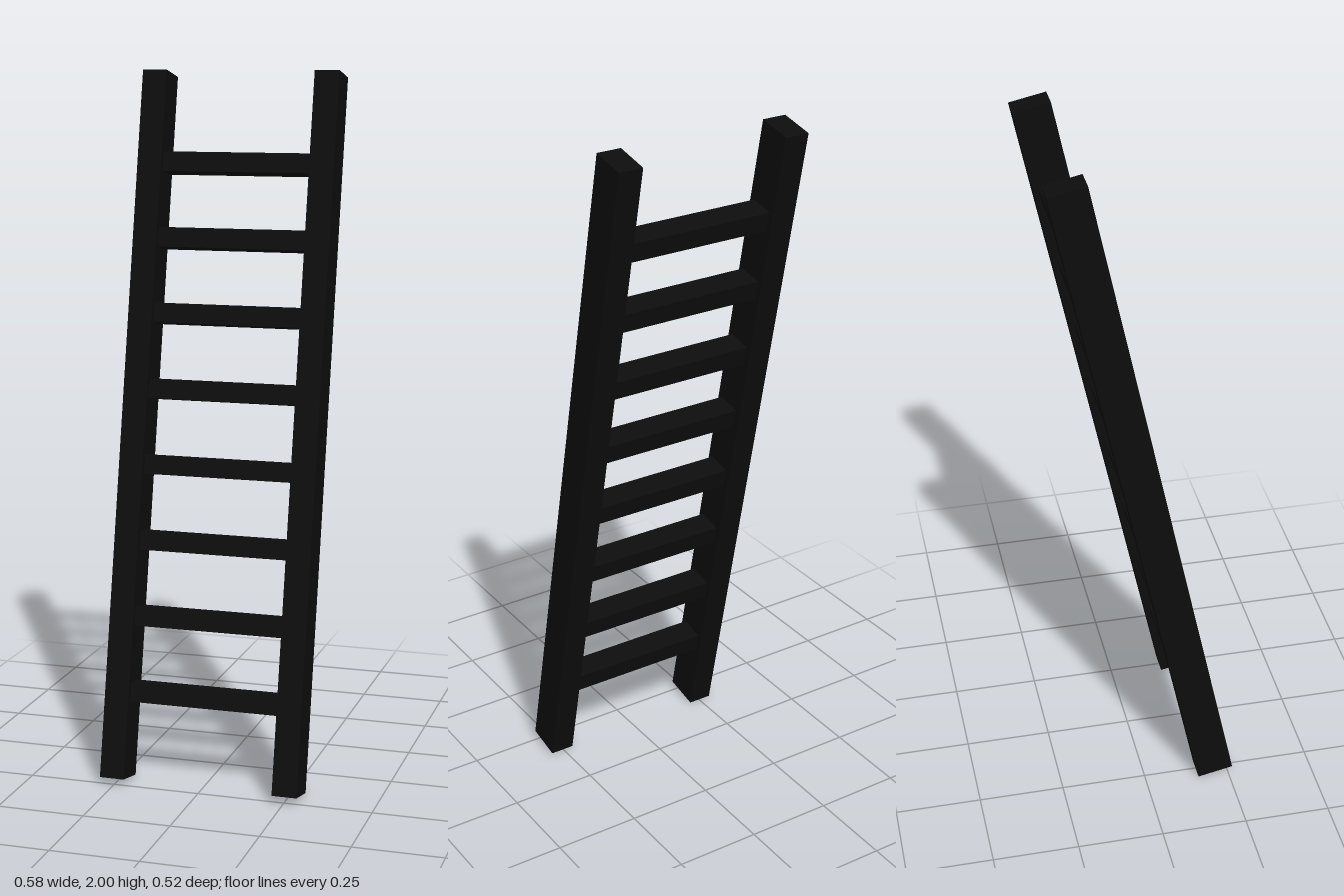
import * as THREE from 'three';

export function createModel() {
  const black = new THREE.MeshStandardMaterial({ color: 0x0d0d0d });
  black.name = 'black';

  const model = new THREE.Group();
  model.name = 'leaningLadder';

  // The ladder is built upright, then leaned back
  const ladder = new THREE.Group();
  ladder.name = 'ladder';
  ladder.position.y = 1;
  ladder.rotation.x = -THREE.MathUtils.degToRad(12);
  model.add(ladder);

  const addBox = (name, w, h, d, x, y) => {
    const mesh = new THREE.Mesh(new THREE.BoxGeometry(w, h, d), black);
    mesh.name = name;
    mesh.position.set(x, y, 0);
    ladder.add(mesh);
  };

  // Side rails
  addBox('leftRail', 0.071, 2.022, 0.106, 0.253, 0);
  addBox('rightRail', 0.071, 2.022, 0.106, -0.253, 0);

  // Eight evenly spaced rungs, let slightly into the rails
  const rungs = 8, spacing = 0.2165;
  for (let i = 0; i < rungs; i++) {
    addBox(`rung${i + 1}`, 0.45, 0.056, 0.073, 0, (i - (rungs - 1) / 2) * spacing - 0.006);
  }

  return model;
}
